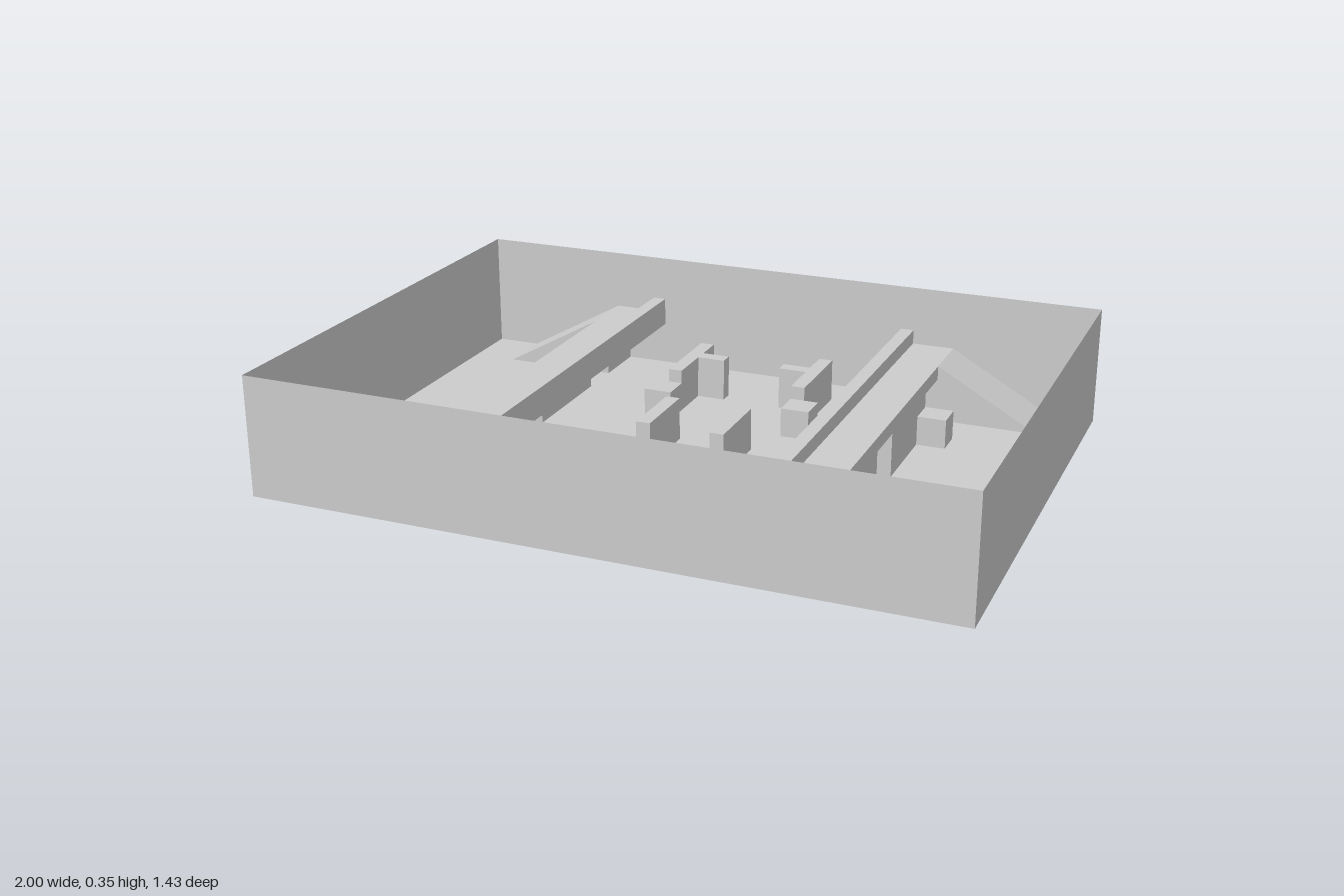
import * as THREE from 'three';

const WIDTH = 2, DEPTH = 1.43, HEIGHT = 0.35;
const FLOOR = 0.001;          // parts rest just above the tray floor
const END = DEPTH / 2 - 0.002; // long parts stop just inside the end walls

export function createModel() {
  const model = new THREE.Group();
  const solid = new THREE.MeshStandardMaterial({ color: 0xcccccc, flatShading: true });
  const sheet = new THREE.MeshStandardMaterial({ color: 0xcccccc, flatShading: true, side: THREE.DoubleSide });

  function add(name, geometry, material = solid, parent = model) {
    const mesh = new THREE.Mesh(geometry, material);
    mesh.name = name;
    parent.add(mesh);
    return mesh;
  }

  // Box given by its extents; sx and sz mirror it across the centre planes
  function block(parent, name, [x0, x1], [y0, y1], [z0, z1], sx = 1, sz = 1) {
    const mesh = add(name, new THREE.BoxGeometry(x1 - x0, y1 - y0, z1 - z0), solid, parent);
    mesh.position.set(sx * (x0 + x1) / 2, (y0 + y1) / 2, sz * (z0 + z1) / 2);
  }

  // Open tray: a floor and four thin walls
  const tray = new THREE.Group();
  tray.name = 'tray';
  model.add(tray);
  add('trayFloor', new THREE.PlaneGeometry(WIDTH, DEPTH).rotateX(-Math.PI / 2), sheet, tray);
  for (const s of [1, -1]) {
    const endWall = add('longWall', new THREE.PlaneGeometry(WIDTH, HEIGHT), sheet, tray);
    endWall.position.set(0, HEIGHT / 2, s * DEPTH / 2);
    const sideWall = add('shortWall', new THREE.PlaneGeometry(DEPTH, HEIGHT), sheet, tray);
    sideWall.rotation.y = Math.PI / 2;
    sideWall.position.set(s * WIDTH / 2, HEIGHT / 2, 0);
  }

  for (const sx of [1, -1]) {
    // Raised walkway with a parapet along its inner edge
    const walkway = new THREE.Group();
    walkway.name = sx > 0 ? 'leftWalkway' : 'rightWalkway';
    model.add(walkway);
    block(walkway, 'deck', [0.395, 0.562], [0.13, 0.172], [-END, END], sx);
    block(walkway, 'parapet', [0.395, 0.435], [0.172, 0.215], [-END, END], sx);

    // Centre low wall
    block(model, 'centreWall', [0.09, 0.132], [FLOOR, 0.128], [-0.108, 0.108], sx);

    for (const sz of [1, -1]) {
      // Supporting walls, leaving doorways between them
      block(walkway, 'supportWall', [0.52, 0.562], [FLOOR, 0.13], [0.07, 0.41], sx, sz);
      block(walkway, 'endSupportWall', [0.52, 0.562], [FLOOR, 0.13], [0.54, END], sx, sz);
      block(walkway, 'outerCrate', [0.562, 0.647], [FLOOR, 0.088], [0.328, 0.412], sx, sz);

      // Ramp from the floor up to the deck
      const profile = new THREE.Shape([
        new THREE.Vector2(sx * 0.562, FLOOR),
        new THREE.Vector2(sx * 0.865, FLOOR),
        new THREE.Vector2(sx * 0.562, 0.172),
      ]);
      const ramp = add('ramp', new THREE.ExtrudeGeometry(profile, { depth: END - 0.54, bevelEnabled: false }), solid, walkway);
      ramp.position.z = sz > 0 ? 0.54 : -END;

      // Cover wall with a stub toward the middle and a crate at its inner end
      const cover = new THREE.Group();
      cover.name = 'cover';
      model.add(cover);
      block(cover, 'coverWall', [0.175, 0.217], [FLOOR, 0.128], [0.326, 0.587], sx, sz);
      block(cover, 'coverStub', [0.09, 0.175], [FLOOR, 0.128], [0.458, 0.5], sx, sz);
      block(cover, 'coverCrate', [0.175, 0.26], [FLOOR, 0.088], [0.24, 0.326], sx, sz);
    }
  }
  return model;
}
